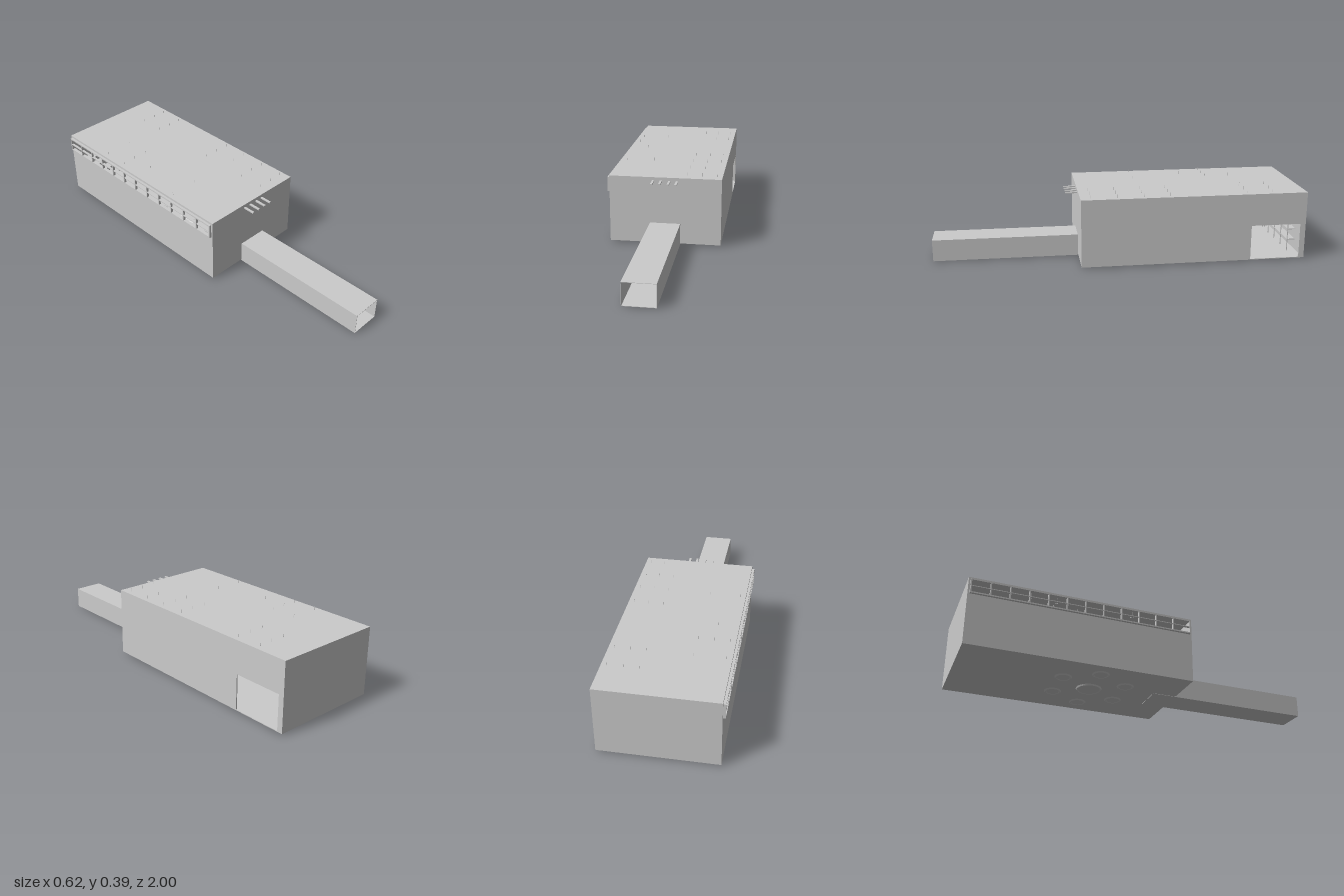
import * as THREE from 'three';

const X0 = -0.295, X1 = 0.307, Y0 = 0.008, Y1 = 0.375, Z0 = -1, Z1 = 0.215;
const CX = (X0 + X1) / 2, T = 0.006;
const mat = new THREE.MeshStandardMaterial({ color: 0xcccccc, flatShading: true, side: THREE.DoubleSide });

export function createModel() {
  const root = new THREE.Group();

  const group = (name) => {
    const g = new THREE.Group();
    g.name = name;
    root.add(g);
    return g;
  };
  const add = (parent, name, geometry) => {
    const m = new THREE.Mesh(geometry, mat);
    m.name = name;
    parent.add(m);
    return m;
  };
  // Box given by its limits on each axis
  const box = (parent, name, xa, xb, ya, yb, za, zb) => {
    const m = add(parent, name, new THREE.BoxGeometry(xb - xa, yb - ya, zb - za));
    m.position.set((xa + xb) / 2, (ya + yb) / 2, (za + zb) / 2);
    return m;
  };
  // Flat panel with a rectangular opening; each rectangle is [u0, u1, v0, v1]
  const rect = (path, [u0, u1, v0, v1]) =>
    path.moveTo(u0, v0).lineTo(u1, v0).lineTo(u1, v1).lineTo(u0, v1).closePath();
  const panel = (outer, hole) => {
    const s = rect(new THREE.Shape(), outer);
    s.holes.push(rect(new THREE.Path(), hole));
    return new THREE.ExtrudeGeometry(s, { depth: T, bevelEnabled: false });
  };

  // Hall shell
  const hall = group('hall');
  box(hall, 'floor', X0, X1, Y0, Y0 + 0.004, Z0, Z1);
  box(hall, 'roof', X0, X1, Y1 - T, Y1, Z0, Z1);
  box(hall, 'backWall', X0, X1, Y0, Y1, Z0, Z0 + T);
  add(hall, 'frontWall', panel([X0, X1, Y0, Y1], [-0.076, 0.088, 0.012, 0.12])).position.z = Z1 - T;
  add(hall, 'doorWall', panel([Z0, Z1, Y0, Y1], [-0.97, -0.7, 0.012, 0.2]).rotateY(-Math.PI / 2)).position.x = X1;
  add(hall, 'windowWall', panel([Z0, Z1, Y0, Y1], [-0.985, 0.2, 0.29, 0.356]).rotateY(-Math.PI / 2)).position.x = X0 + T;

  // Entrance corridor, open at both ends
  const corridor = group('corridor');
  const W = 0.002;
  box(corridor, 'corridorFloor', -0.076, 0.088, 0.002, 0.004, 0.08, 1);
  box(corridor, 'corridorRoof', -0.076, 0.088, 0.12 - W, 0.12, Z1 - T, 1);
  for (const x of [-0.076, 0.088 - W]) box(corridor, 'corridorWall', x, x + W, 0.002, 0.12, Z1 - T, 1);

  // Long strip window with rails and mullions
  const win = group('stripWindow');
  const wx0 = -0.308, wx1 = X0, wz0 = -0.99, wz1 = 0.205;
  for (const [y, h] of [[0.283, 0.007], [0.321, 0.004], [0.356, 0.007]])
    box(win, 'windowRail', wx0, wx1, y, y + h, wz0, wz1);
  const cells = 12;
  for (let i = 0; i <= cells; i++) {
    const z = wz0 + (wz1 - wz0 - 0.006) * i / cells;
    box(win, 'mullion', wx0, wx1, 0.283, 0.363, z, z + 0.006);
  }

  // Floor pads: a large stepped one circled by six small ones
  const pads = group('floorPads');
  const pad = (name, profile, x, z) => {
    const pts = profile.map(([r, y]) => new THREE.Vector2(r, y));
    add(pads, name, new THREE.LatheGeometry(pts, 32)).position.set(x, 0, z);
  };
  const padZ = -0.265;
  pad('centralPad', [[0, 0.002], [0.058, 0.002], [0.06, 0], [0.066, 0], [0.07, 0.008], [0.08, 0.009],
    [0.074, 0.014], [0.068, 0.018], [0.06, 0.02], [0.056, 0.026], [0, 0.026]], CX, padZ);
  for (let i = 0; i < 6; i++) {
    const a = i * Math.PI / 3;
    pad('smallPad', [[0, 0.004], [0.034, 0.004], [0.036, 0.002], [0.04, 0.002], [0.046, 0.008], [0.046, 0.014],
      [0.038, 0.018], [0, 0.018]], CX + 0.2 * Math.cos(a), padZ + 0.2 * Math.sin(a));
  }

  // Hanging lamps whose rods pass through the roof
  const lamps = group('lamps');
  const left = [-0.265, -0.187, -0.108], right = [0.12, 0.199, 0.277];
  const rows = [
    [0.16, right], [0.02, right], [-0.12, [left[0], left[2], ...right]], [-0.26, right],
    [-0.4, [left[1]]], [-0.535, left], [-0.675, [left[0], left[2], ...right]], [-0.815, right],
  ];
  for (const [z, xs] of rows) for (const x of xs) {
    add(lamps, 'lampRod', new THREE.CylinderGeometry(0.0012, 0.0012, 0.052, 6)).position.set(x, 0.366, z);
    add(lamps, 'lampShade', new THREE.CylinderGeometry(0.004, 0.014, 0.012, 12)).position.set(x, 0.336, z);
  }

  // Four flat bars projecting from the front wall
  const bars = group('frontBars');
  for (const x of [-0.058, -0.016, 0.029, 0.07]) box(bars, 'frontBar', x - 0.006, x + 0.006, 0.352, 0.358, Z1 - 0.02, 0.28);

  // Shelving along the inside of the window wall and the back wall
  const racks = group('shelving');
  for (const y of [0.075, 0.135, 0.195]) {
    box(racks, 'sideShelf', X0 + T, X0 + 0.06, y, y + 0.005, -0.96, -0.5);
    box(racks, 'backShelf', -0.23, 0.2, y, y + 0.005, -0.985, -0.94);
  }
  for (let i = 0; i < 5; i++) {
    const z = -0.96 + 0.114 * i, x = -0.23 + 0.1065 * i;
    box(racks, 'sidePost', X0 + 0.056, X0 + 0.06, 0.01, 0.2, z, z + 0.004);
    box(racks, 'backPost', x, x + 0.004, 0.01, 0.2, -0.944, -0.94);
  }
  return root;
}
